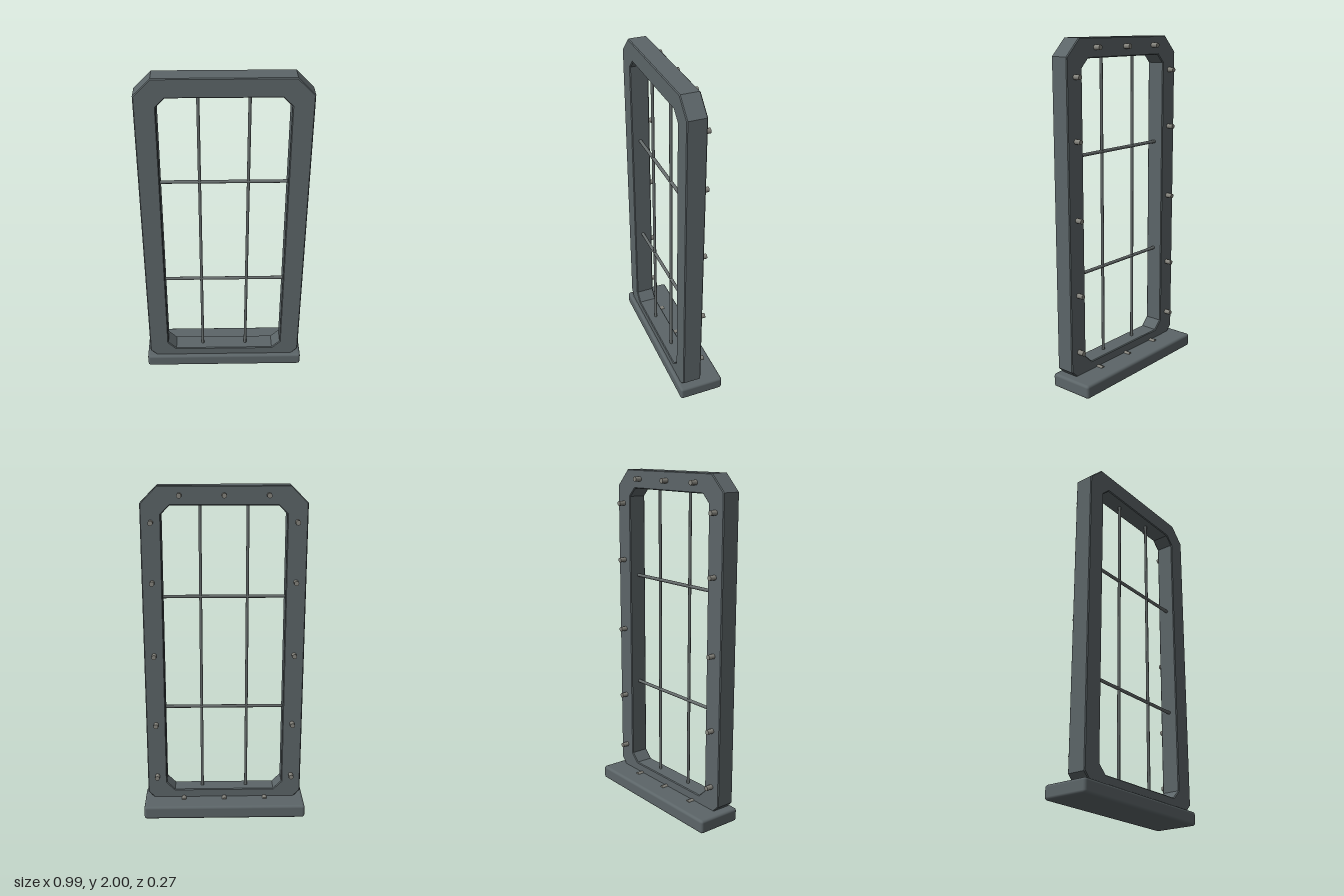
import * as THREE from 'three';
import { RoundedBoxGeometry } from 'three/addons/geometries/RoundedBoxGeometry.js';

// Rectangle with cut corners, added to a Shape or Path
function cutRect(path, halfW, bottom, top, cut) {
  path.moveTo(-halfW + cut, bottom);
  path.lineTo(halfW - cut, bottom);
  path.lineTo(halfW, bottom + cut);
  path.lineTo(halfW, top - cut);
  path.lineTo(halfW - cut, top);
  path.lineTo(-halfW + cut, top);
  path.lineTo(-halfW, top - cut);
  path.lineTo(-halfW, bottom + cut);
  path.closePath();
  return path;
}

export function createModel() {
  const group = new THREE.Group();
  const frameMat = new THREE.MeshStandardMaterial({ color: 0x5c6568 });
  frameMat.name = 'slateFrame';
  const barMat = new THREE.MeshStandardMaterial({ color: 0x656b6b });
  barMat.name = 'ironBar';
  const boltMat = new THREE.MeshStandardMaterial({ color: 0x85847d });
  boltMat.name = 'paleBolt';

  const add = (name, geometry, material, x, y, z) => {
    const mesh = new THREE.Mesh(geometry, material);
    mesh.name = name;
    mesh.position.set(x, y, z);
    group.add(mesh);
    return mesh;
  };

  // Window frame: cut-corner ring with a fine bevel
  const bevel = 0.005;
  const outline = cutRect(new THREE.Shape(), 0.475, 0.02, 2, 0.097);
  outline.holes.push(cutRect(new THREE.Path(), 0.357, 0.132, 1.89, 0.05));
  const frameGeo = new THREE.ExtrudeGeometry(outline, {
    depth: 0.112 - 2 * bevel,
    bevelEnabled: true,
    bevelThickness: bevel,
    bevelSize: bevel,
    bevelOffset: -bevel,
    bevelSegments: 1,
  });
  add('frame', frameGeo, frameMat, 0, 0, bevel);

  // Sill slab with softened edges
  add('sill', new RoundedBoxGeometry(0.988, 0.081, 0.273, 2, 0.016), frameMat, 0, 0.0405, -0.002);

  // Glazing bars
  const uprightGeo = new THREE.CylinderGeometry(0.009, 0.009, 1.79, 10);
  for (const x of [-0.137, 0.137]) add('verticalBar', uprightGeo, barMat, x, 1.01, 0.06);
  const crossGeo = new THREE.CylinderGeometry(0.01, 0.01, 0.74, 10).rotateZ(Math.PI / 2);
  for (const y of [0.667, 1.357]) add('horizontalBar', crossGeo, barMat, 0, y, 0.06);

  // Fixing bolts around the back of the frame
  const boltGeo = new THREE.CylinderGeometry(0.0145, 0.0145, 0.05, 10).rotateX(Math.PI / 2);
  const bolt = (x, y) => add('bolt', boltGeo, boltMat, x, y, -0.015);
  for (const y of [0.227, 0.572, 1.012, 1.452, 1.797]) {
    bolt(-0.415, y);
    bolt(0.415, y);
  }
  for (const x of [-0.252, 0, 0.252]) {
    bolt(x, 0.076);
    bolt(x, 1.947);
  }
  return group;
}
